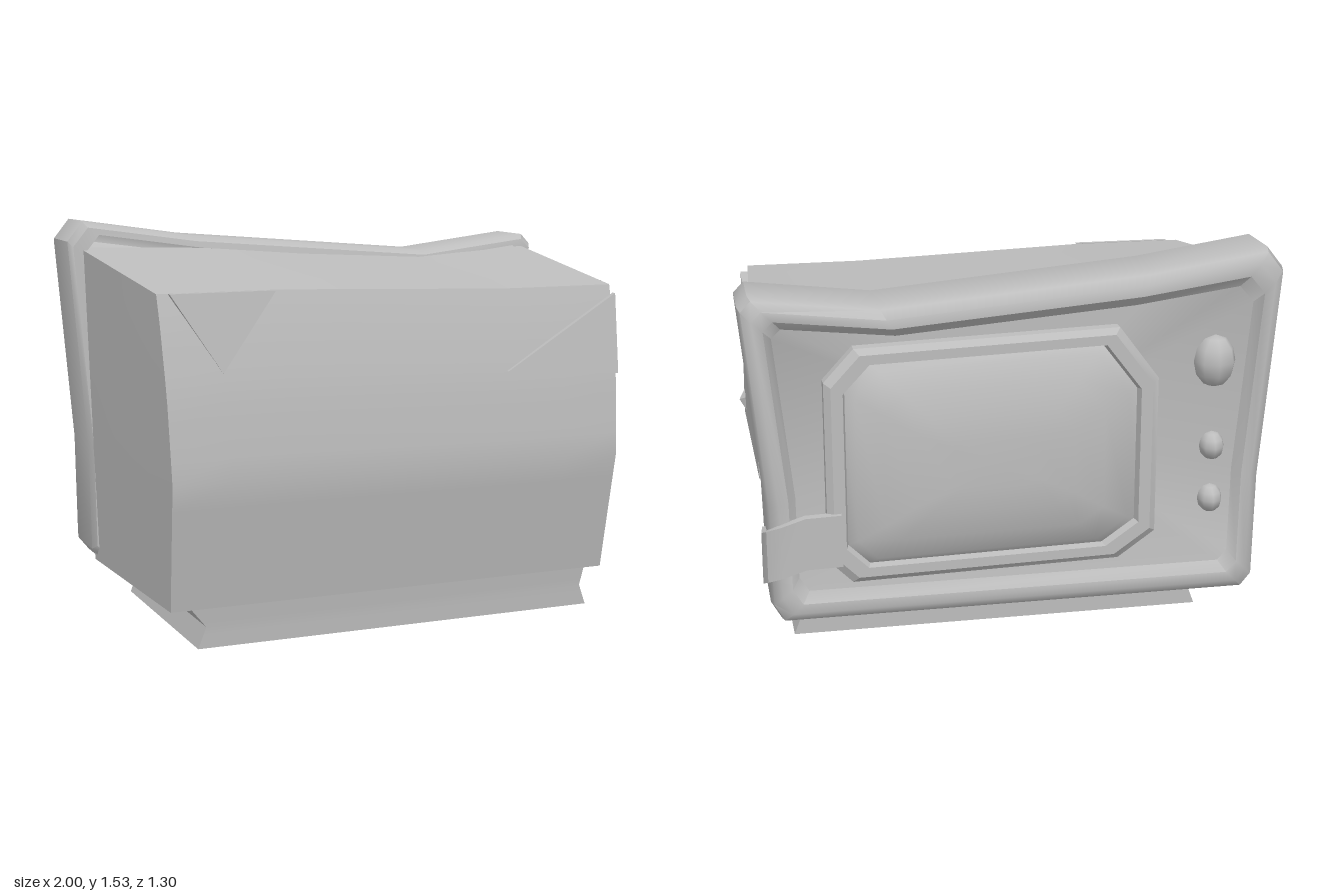
import * as THREE from 'three';
import { toCreasedNormals } from 'three/addons/utils/BufferGeometryUtils.js';

const grey = new THREE.MeshStandardMaterial({ color: 0xbdbdbd, side: THREE.DoubleSide });
grey.name = 'plain grey';

// Piecewise linear lookup in a short [position, value] table
function table(t, rows) {
  if (t <= rows[0][0]) return rows[0][1];
  for (let i = 1; i < rows.length; i++) {
    const [a, va] = rows[i - 1], [b, vb] = rows[i];
    if (t <= b) return va + (vb - va) * (t - a) / (b - a);
  }
  return rows[rows.length - 1][1];
}
const mix = THREE.MathUtils.lerp;

// Box with segments whose vertices are moved by a rule of u, v, w in 0..1
function bentBox(segments, rule, crease) {
  const geo = new THREE.BoxGeometry(1, 1, 1, ...segments);
  const p = geo.attributes.position;
  for (let i = 0; i < p.count; i++) {
    p.setXYZ(i, ...rule(p.getX(i) + 0.5, p.getY(i) + 0.5, p.getZ(i) + 0.5));
  }
  geo.deleteAttribute('uv');
  geo.deleteAttribute('normal');
  return toCreasedNormals(geo, crease);
}

// Skin over closed rings of points, with an optional cap on the last ring
function loft(rings, cap, crease) {
  const n = rings[0].length, pos = rings.flat(2), idx = [];
  for (let r = 0; r < rings.length - 1; r++) {
    for (let i = 0; i < n; i++) {
      const a = r * n + i, b = r * n + (i + 1) % n;
      idx.push(a, b, b + n, a, b + n, a + n);
    }
  }
  if (cap) {
    const last = rings[rings.length - 1], base = (rings.length - 1) * n;
    for (let k = 0; k < 3; k++) pos.push(last.reduce((s, q) => s + q[k], 0) / n);
    for (let i = 0; i < n; i++) idx.push(rings.length * n, base + i, base + (i + 1) % n);
  }
  const geo = new THREE.BufferGeometry();
  geo.setAttribute('position', new THREE.Float32BufferAttribute(pos, 3));
  geo.setIndex(idx);
  return toCreasedNormals(geo, crease);
}

// Outline scaled about a centre and placed at depth z
const ring = (outline, [cx, cy], sx, sy, z) =>
  outline.map(([x, y]) => [cx + (x - cx) * sx, cy + (y - cy) * sy, z]);

// Thin slab: outer corners, thickened along a direction pointing inward
const slab = (corners, inward) =>
  loft([corners.map((c) => c.map((v, k) => v + inward[k])), corners], true, 0.3);

export function createModel() {
  const model = new THREE.Group();
  const add = (name, geo) => {
    const mesh = new THREE.Mesh(geo, grey);
    mesh.name = name;
    model.add(mesh);
    return mesh;
  };

  // Cabinet with a sagging top and a rounded-out rear wall
  add('cabinet', bentBox([8, 12, 4], (u, v, w) => {
    const left = mix(mix(-0.91, -0.95, v), mix(-0.87, -0.9, v), w);
    const right = mix(mix(0.9, 0.945, v), mix(0.88, 0.9, v), w);
    const topNear = table(u, [[0, 1.435], [0.25, 1.42], [0.75, 1.365], [1, 1.4]]);
    const topFar = table(u, [[0, 1.33], [0.25, 1.33], [0.75, 1.3], [1, 1.3]]);
    const rear = table(v, [[0, 0.565], [0.2, 0.605], [0.42, 0.65], [0.7, 0.625], [0.92, 0.575], [1, 0.55]]);
    return [mix(left, right, u), mix(0.2, mix(topNear, topFar, w), v), mix(-0.3, rear, w)];
  }, 0.6));

  // Thick bezel around the screen side, with a recessed panel
  const rim = [[-0.94, 1.535], [-0.5, 1.47], [0.5, 1.385], [0.96, 1.44], [0.998, 1.4], [0.925, 0.66],
    [0.92, 0.27], [0.88, 0.2], [-0.89, 0.2], [-0.93, 0.25], [-0.935, 0.66], [-1, 1.46]];
  const rimMid = [0, 0.82];
  add('bezel', loft([
    [0.94, 0.93, -0.235], [0.985, 0.97, -0.24], [1, 1, -0.27], [1, 1, -0.48], [0.99, 0.985, -0.525],
    [0.955, 0.93, -0.552], [0.915, 0.87, -0.552], [0.885, 0.81, -0.515],
  ].map(([sx, sy, z]) => ring(rim, rimMid, sx, sy, z)), true, 0.75));

  // Raised screen surround with cut corners
  const outline = [[-0.37, 1.28], [0.6, 1.25], [0.71, 1.13], [0.71, 0.45], [0.62, 0.36],
    [-0.38, 0.38], [-0.52, 0.48], [-0.52, 1.08]];
  const mid = [0.1, 0.82];
  add('screenSurround', loft([
    [1, 1, -0.5], [1, 1, -0.56], [0.96, 0.95, -0.58], [0.89, 0.87, -0.58], [0.87, 0.85, -0.535],
  ].map(([sx, sy, z]) => ring(outline, mid, sx, sy, z)), false, 0.4));

  // Bulging glass
  add('screenGlass', loft([
    [0.89, 0.87, -0.54], [0.82, 0.8, -0.575], [0.66, 0.62, -0.612], [0.47, 0.4, -0.642], [0.25, 0.2, -0.65],
  ].map(([sx, sy, z]) => ring(outline, mid, sx, sy, z)), true, 0.9));

  // Control knobs, one large and two small
  [[1.12, 0.08, 0.1, 0.075], [0.79, 0.048, 0.055, 0.06], [0.58, 0.048, 0.055, 0.06]].forEach(([y, rx, ry, rz]) => {
    const knob = add('knob', new THREE.SphereGeometry(1, 8, 6));
    knob.scale.set(rx, ry, rz);
    knob.position.set(-0.745, y, -0.515);
  });

  // Strap of tape folded round the bezel corner
  const strap = [[0.935, -0.375, 0.43], [0.945, -0.49, 0.45], [0.93, -0.545, 0.475],
    [0.88, -0.58, 0.5], [0.79, -0.585, 0.53], [0.66, -0.6, 0.54]];
  add('cornerStrap', bentBox([5, 1, 1], (u, v, w) => {
    const [x, z, y] = strap[Math.round(u * 5)];
    const turn = Math.min(1, u / 0.6) * Math.PI / 2;
    const depth = (1 - w) * 0.035;
    return [x - Math.cos(turn) * depth, y + (v - 0.5) * 0.2, z + Math.sin(turn) * depth];
  }, 0.6));

  // Access panel and its two bolts
  add('sidePanel', slab([[0.935, 1.305, 0.43], [0.94, 0.7, 0.5], [0.925, 0.63, -0.14], [0.95, 1.23, -0.18]],
    [-0.05, 0, 0]));
  [[0.945, 1.17, -0.105, 0.15], [0.938, 0.775, 0.42, 0.5]].forEach(([x, y, z, turn]) => {
    const bolt = add('panelBolt', new THREE.OctahedronGeometry(1));
    bolt.scale.set(0.025, 0.046, 0.032);
    bolt.position.set(x, y, z);
    bolt.rotation.x = turn;
  });

  // Patches over the two upper rear corners
  add('rearPatch', slab([[-0.86, 1.33, 0.575], [-0.68, 1.05, 0.615], [-0.47, 1.33, 0.58]], [0, 0, -0.02]));
  add('rearPatch', slab([[0.9, 1.27, 0.595], [0.43, 1.0, 0.632], [0.895, 0.97, 0.64]], [0, 0, -0.02]));

  // Waisted plinth
  add('plinth', bentBox([1, 6, 1], (u, v, w) => {
    const left = table(v, [[0, -0.765], [0.5, -0.735], [1, -0.8]]);
    const right = table(v, [[0, 0.825], [0.5, 0.795], [1, 0.81]]);
    const rear = table(v, [[0, 0.55], [0.5, 0.555], [1, 0.565]]);
    return [mix(left, right, u), mix(0.05, 0.21, v), mix(-0.31, rear, w)];
  }, 0.5));

  // Loose plate under the plinth
  add('bottomPlate', slab([[0.06, 0.022, 0.1], [-0.13, 0.015, 0.37], [-0.7, 0, 0.2], [-0.7, 0.005, -0.05],
    [-0.62, 0.02, -0.23]], [0, 0.035, 0]));

  return model;
}
